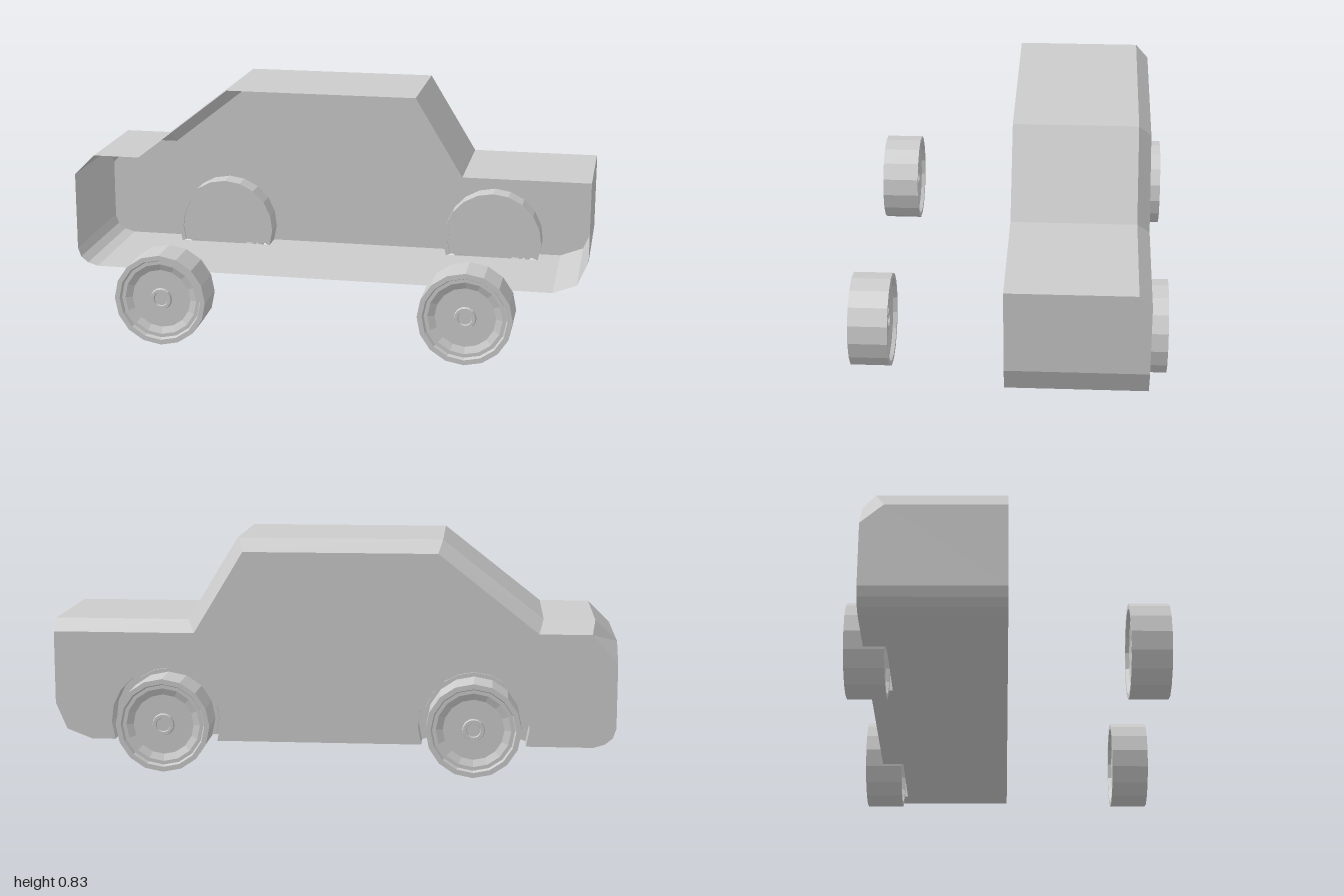
import * as THREE from 'three';

const paint = new THREE.MeshStandardMaterial({ color: 0xcccccc, flatShading: true, side: THREE.DoubleSide });
paint.name = 'light grey';

const SIDE = -0.49, FLOOR = 0.1, AXLE_Y = 0.168;
const AXLES = [-0.5, 0.6];
const ARCH_R = 0.197, WELL_Z = -0.41;
const ARCH_T = Math.acos((AXLE_Y - FLOOR) / ARCH_R); // angle from straight down to the arch foot
const ARCH_SEGS = 12;

function add(parent, name, geometry) {
  const mesh = new THREE.Mesh(geometry, paint);
  mesh.name = name;
  parent.add(mesh);
  return mesh;
}

// Surface between two rows of matching points
function strip(a, b) {
  const v = [];
  for (let i = 0; i < a.length - 1; i++) {
    v.push(...a[i], ...a[i + 1], ...b[i + 1], ...a[i], ...b[i + 1], ...b[i]);
  }
  const g = new THREE.BufferGeometry();
  g.setAttribute('position', new THREE.Float32BufferAttribute(v, 3));
  g.computeVertexNormals();
  return g;
}

// Arch points from the foot at -x, over the top, to the foot at +x
function archPoints(cx, r) {
  return Array.from({ length: ARCH_SEGS + 1 }, (_, i) => {
    const t = -ARCH_T - (i / ARCH_SEGS) * (2 * Math.PI - 2 * ARCH_T);
    return new THREE.Vector2(cx + r * Math.sin(t), AXLE_Y - r * Math.cos(t));
  });
}

function createBody() {
  const body = new THREE.Group();
  body.name = 'body';

  // Outline over the top: shell edge, and matching corner on the side panel
  const shell = [
    [-0.92, FLOOR, SIDE], [-0.96, 0.112, SIDE], [-0.988, 0.135, SIDE], [-1, 0.17, SIDE],
    [-1, 0.47, -0.41], [-0.92, 0.55, -0.445], [-0.74, 0.55, -0.445], [-0.385, 0.828, -0.445],
    [0.34, 0.828, -0.445], [0.52, 0.533, -0.445], [1, 0.533, -0.445],
    [1, 0.23, SIDE], [0.96, 0.135, SIDE], [0.87, FLOOR, SIDE],
  ];
  const sideTop = [[-1, 0.4], [-0.91, 0.503], [-0.725, 0.503], [-0.37, 0.782],
    [0.318, 0.782], [0.495, 0.49], [1, 0.49]];
  const panel = shell.map(([x, y], i) => {
    const p = i >= 4 && i <= 10 ? sideTop[i - 4] : [x, y];
    return [p[0], p[1], SIDE];
  });
  add(body, 'outerShell', strip(shell.map(([x, y]) => [x, y, 0]), shell));
  add(body, 'roofChamfer', strip(shell.slice(3, 12), panel.slice(3, 12)));

  // Side panel with wheel arches cut up from the floor
  const outline = panel.map(([x, y]) => new THREE.Vector2(x, y));
  for (const cx of [...AXLES].reverse()) outline.push(...archPoints(cx, ARCH_R).reverse());
  add(body, 'sidePanel', new THREE.ShapeGeometry(new THREE.Shape(outline))).position.z = SIDE;

  // Floor with notches for the wheels
  const half = ARCH_R * Math.sin(ARCH_T);
  const floor = new THREE.Shape().moveTo(-0.92, 0).lineTo(-0.92, SIDE);
  for (const cx of AXLES) {
    floor.lineTo(cx - half, SIDE).lineTo(cx - half, WELL_Z).lineTo(cx + half, WELL_Z).lineTo(cx + half, SIDE);
  }
  floor.lineTo(0.87, SIDE).lineTo(0.87, 0);
  add(body, 'floor', new THREE.ShapeGeometry(floor).rotateX(Math.PI / 2)).position.y = FLOOR;

  // Wheel wells: band, narrow rim and inner cap
  for (const cx of AXLES) {
    const profile = [[ARCH_R, SIDE], [ARCH_R, WELL_Z + 0.007], [0.18, WELL_Z + 0.007], [0.18, WELL_Z]];
    const rows = profile.map(([r, z]) => archPoints(cx, r).map((p) => [p.x, p.y, z]));
    for (let i = 0; i < rows.length - 1; i++) add(body, 'wheelWell', strip(rows[i], rows[i + 1]));
    const cap = new THREE.Shape(archPoints(cx, 0.18));
    add(body, 'wheelWellCap', new THREE.ShapeGeometry(cap)).position.z = WELL_Z;
  }
  return body;
}

// Wheel with a dished face and a small hub on both sides
function wheelGeometry() {
  const face = [[0, 0.05], [0.024, 0.05], [0.026, 0.058], [0.037, 0.058], [0.04, 0.046],
    [0.108, 0.046], [0.132, 0.056], [0.145, 0.056], [0.15, 0.07], [0.168, 0.07]];
  const points = [
    ...face.map(([r, h]) => new THREE.Vector2(r, -h)),
    ...face.map(([r, h]) => new THREE.Vector2(r, h)).reverse(),
  ];
  return new THREE.LatheGeometry(points, 16).rotateX(Math.PI / 2);
}

export function createModel() {
  const model = new THREE.Group();
  model.name = 'car';
  model.add(createBody());
  const wheel = wheelGeometry();
  for (const x of AXLES) {
    for (const z of [-0.49, 0.49]) add(model, 'wheel', wheel).position.set(x, AXLE_Y, z);
  }
  return model;
}
